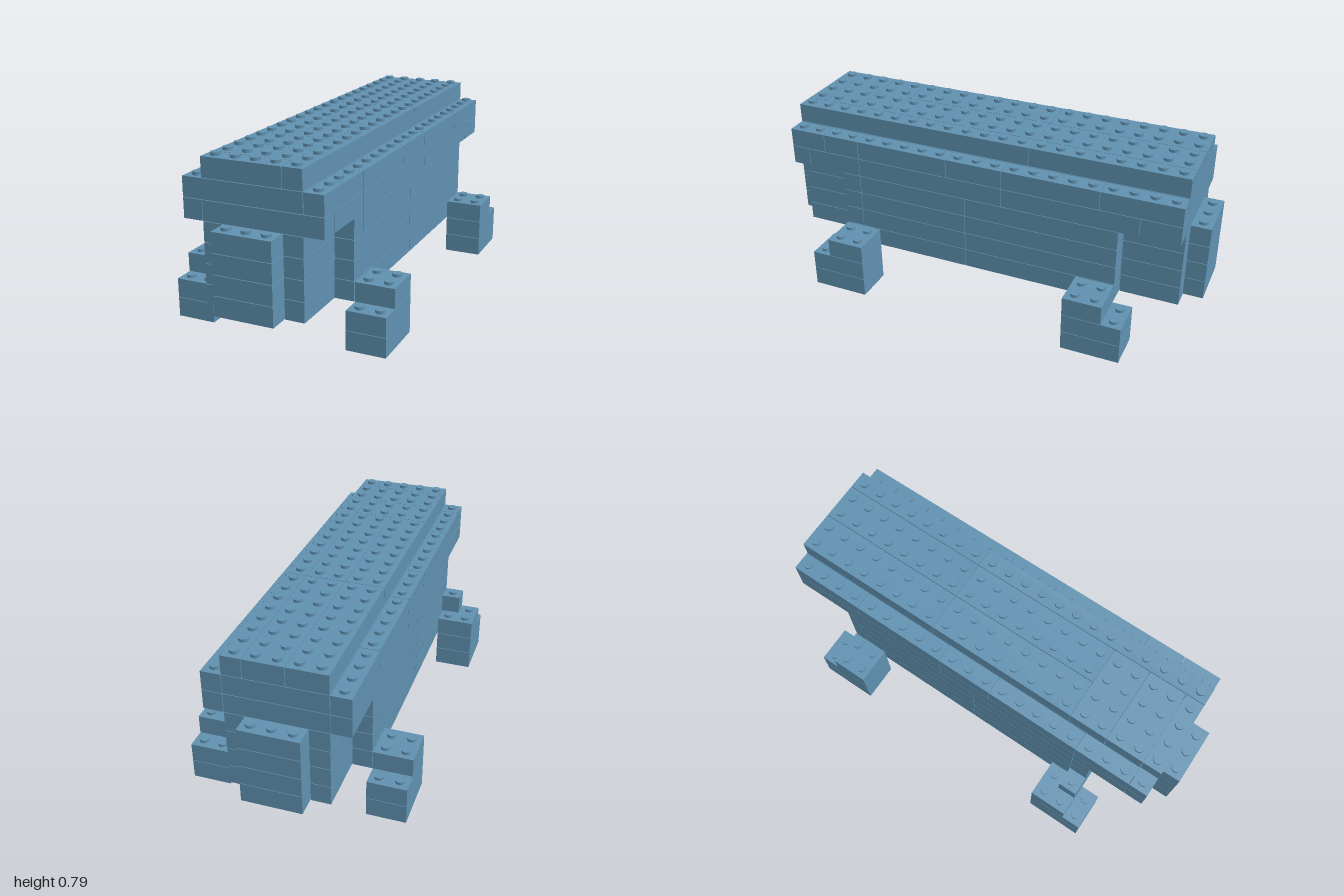
import * as THREE from 'three';
import { mergeGeometries } from 'three/addons/utils/BufferGeometryUtils.js';

const P = 2 / 23;      // stud pitch and layer height
const GAP = 0.0012;    // thin joint between bricks
const STUD_R = 0.0205, STUD_H = 0.013;

export function createModel() {
  const model = new THREE.Group();
  model.name = 'brickModel';
  const blue = new THREE.MeshStandardMaterial({ color: 0x5f90af });
  blue.name = 'steelBlue';

  // A brick spans x0..x1 and z0..z1 in stud units on one layer
  const bricks = [];
  const add = (name, layer, x0, x1, z0, z1) => bricks.push({ name, layer, x0, x1, z0, z1 });
  // A row of bricks along z, split at the given seams
  const run = (name, layer, x0, x1, seams) => {
    for (let i = 0; i + 1 < seams.length; i++) add(name, layer, x0, x1, seams[i], seams[i + 1]);
  };

  // Four feet: two full layers and a shorter step on top
  for (const sx of [-1, 1]) for (const sz of [-1, 1]) {
    const foot = (layer, a, b) => add('foot', layer,
      sx > 0 ? 3.5 : -5.5, sx > 0 ? 5.5 : -3.5, sz > 0 ? a : -b, sz > 0 ? b : -a);
    foot(0, 5.5, 8.5);
    foot(1, 5.5, 8.5);
    foot(2, 5.5, 7.5);
  }

  // Main body: stepped ends, three, five then seven studs wide
  for (let layer = 2; layer <= 5; layer++) {
    run('bodyCore', layer, -1.5, 1.5, [-11.5, -7.5, 0.5, 7.5, 11.5]);
    for (const s of [-1, 1]) {
      const inner = s > 0 ? [1.5, 2.5] : [-2.5, -1.5];
      const outer = s > 0 ? [2.5, 3.5] : [-3.5, -2.5];
      run('bodyInnerWall', layer, ...inner, [-10.5, -7.5, 0.5, 7.5, 10.5]);
      const bracket = s < 0 && layer === 3;
      run('bodyOuterWall', layer, ...outer, bracket ? [-7.5, 0.5, 6.5] : [-7.5, 0.5, 6.5, 7.5]);
      if (bracket) add('sideBracket', layer, -4.5, -2.5, 6.5, 7.5);
    }
  }

  // Overhanging shelf
  add('shelfFront', 6, -2.5, 3.5, 9.5, 10.5);
  add('shelfFront', 6, -3.5, -2.5, 9.5, 10.5);
  add('shelfFront', 7, -3.5, 2.5, 9.5, 10.5);
  add('shelfFront', 7, 2.5, 3.5, 8.5, 10.5);
  for (const [x0, x1] of [[-3.5, -2.5], [-2.5, 2.5], [2.5, 3.5]]) {
    run('shelf', 6, x0, x1, [-10.5, -8.5, -1.5, 6.5, 9.5]);
    run('shelf', 7, x0, x1, [-10.5, -6.5, -1.5, 1.5, 6.5, x0 > 0 ? 8.5 : 9.5]);
  }

  // Roof
  run('roof', 8, -2.5, 1.5, [5.5, 7.5, 9.5, 10.5]);
  run('roof', 8, -2.5, -0.5, [-10.5, -2.5, 5.5]);
  run('roof', 8, -0.5, 1.5, [-10.5, -2.5, 5.5]);
  run('roof', 8, 1.5, 2.5, [-10.5, -2.5, 10.5]);

  // Cells taken by each brick, so that covered studs are left out
  const cells = (b, visit) => {
    for (let x = b.x0 + 0.5; x < b.x1; x++)
      for (let z = b.z0 + 0.5; z < b.z1; z++) visit(x, z);
  };
  const taken = new Set();
  for (const b of bricks) cells(b, (x, z) => taken.add(`${x},${b.layer},${z}`));

  for (const b of bricks) {
    const h = P - 2 * GAP, base = b.layer * P;
    const body = new THREE.BoxGeometry((b.x1 - b.x0) * P - 2 * GAP, h, (b.z1 - b.z0) * P - 2 * GAP);
    body.translate((b.x0 + b.x1) / 2 * P, base + h / 2, (b.z0 + b.z1) / 2 * P);
    const parts = [body];
    cells(b, (x, z) => {
      if (taken.has(`${x},${b.layer + 1},${z}`)) return;
      const stud = new THREE.CylinderGeometry(STUD_R, STUD_R, STUD_H, 20);
      stud.translate(x * P, base + h + STUD_H / 2, z * P);
      parts.push(stud);
    });
    const mesh = new THREE.Mesh(mergeGeometries(parts), blue);
    mesh.name = b.name;
    model.add(mesh);
  }
  return model;
}
